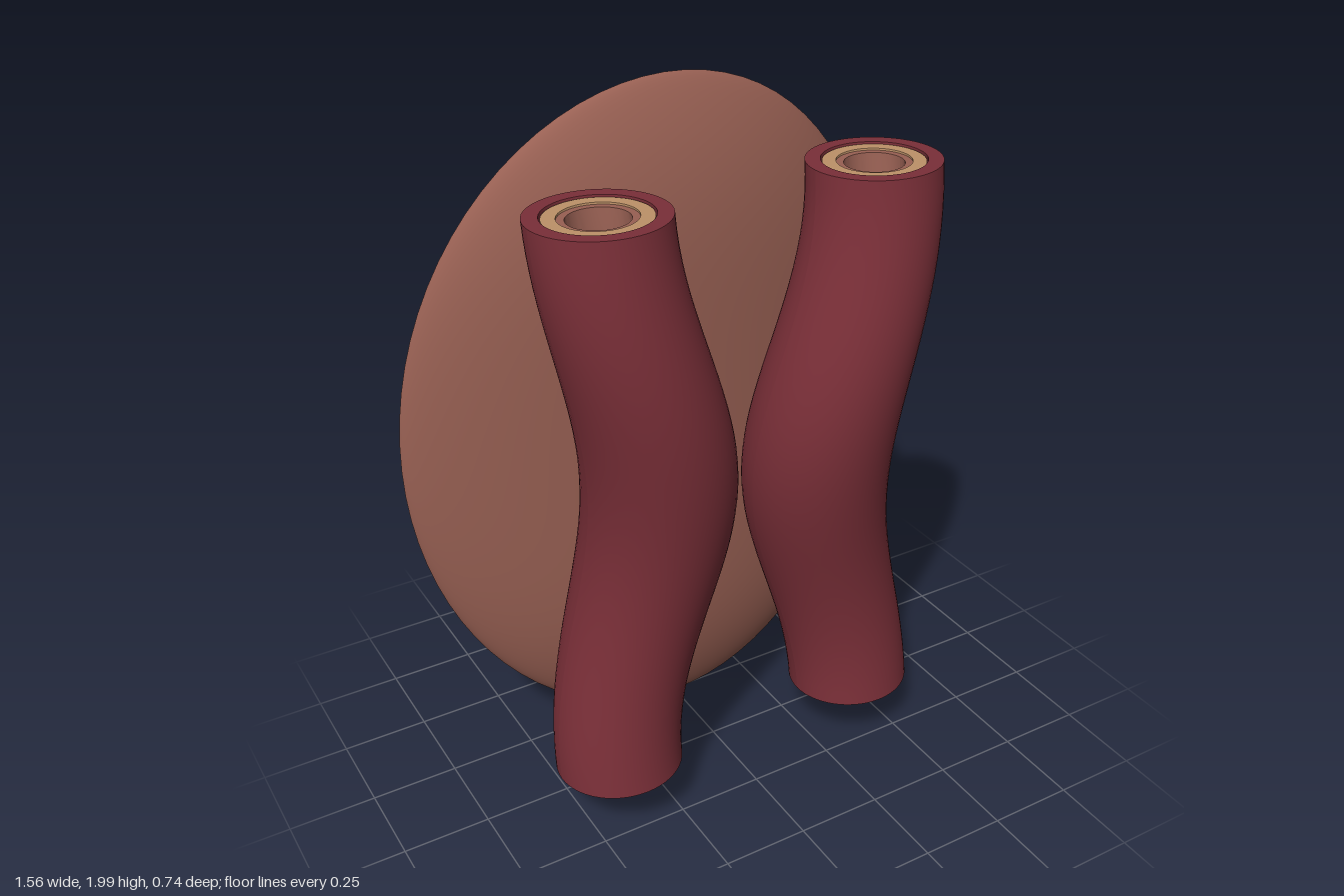
import * as THREE from 'three';
import { mergeVertices, toCreasedNormals } from 'three/addons/utils/BufferGeometryUtils.js';

const material = (name, color) => {
  const m = new THREE.MeshStandardMaterial({ color });
  m.name = name;
  return m;
};

const Y0 = 0.19, Y1 = 1.815;

// Half of a hollow tube layer, bowed along its length. side: +1 left, -1 right
function tubeHalf(outer, inner, recess, side, phiStart) {
  const y0 = Y0 + recess, y1 = Y1 - recess, steps = 40;
  const profile = [];
  for (let i = 0; i <= steps; i++) profile.push(new THREE.Vector2(outer, y0 + (y1 - y0) * i / steps));
  for (let i = steps; i >= 0; i--) profile.push(new THREE.Vector2(inner, y0 + (y1 - y0) * i / steps));
  profile.push(profile[0].clone());
  const geo = new THREE.LatheGeometry(profile, 28, phiStart, Math.PI);
  const p = geo.attributes.position;
  for (let i = 0; i < p.count; i++) {
    const t = (p.getY(i) - Y0) / (Y1 - Y0);
    const s = Math.sin(Math.PI * t) ** 2;
    const swell = 1 + 0.14 * s;
    p.setX(i, p.getX(i) * swell + side * (0.393 - 0.143 * s));
    p.setZ(i, p.getZ(i) * swell * (0.94 + 0.06 * s) + 0.14 - 0.037 * Math.sin(2 * Math.PI * t));
  }
  geo.deleteAttribute('uv');
  geo.deleteAttribute('normal');
  return toCreasedNormals(mergeVertices(geo), 0.7);
}

// Oval back plate: thick in the middle, thin at the rim, sides swept backwards
function plateGeometry() {
  let geo = new THREE.SphereGeometry(1, 80, 60).rotateX(Math.PI / 2);
  geo.deleteAttribute('uv');
  geo.deleteAttribute('normal');
  geo = mergeVertices(geo);
  const p = geo.attributes.position;
  for (let i = 0; i < p.count; i++) {
    const u = p.getX(i), v = p.getY(i), w = p.getZ(i);
    const fuller = 1 + 0.75 * v * v * (1 - v ** 4);
    const half = 0.122 * Math.sign(w) * Math.abs(w) ** 1.2 * fuller;
    p.setXYZ(i, u * 0.78, 1.005 + v * 0.995, -0.245 - 0.085 * u * u + half);
  }
  geo.computeVertexNormals();
  return geo;
}

export function createModel() {
  const red = material('dark red', 0x7a2f38);
  const tan = material('tan', 0xbd9168);
  const brown = material('rosy brown', 0x986053);

  const model = new THREE.Group();
  const add = (parent, name, geo, mat) => {
    const mesh = new THREE.Mesh(geo, mat);
    mesh.name = name;
    parent.add(mesh);
  };

  add(model, 'backPlate', plateGeometry(), brown);

  // Nested layers: outer shell, middle sleeve, inner lining around the bore
  const layers = [
    ['outerShell', 0.181, 0.14, 0, red],
    ['middleSleeve', 0.136, 0.1, 0.005, tan],
    ['innerLining', 0.1, 0.08, 0.01, brown],
  ];
  for (const side of [1, -1]) {
    const tube = new THREE.Group();
    tube.name = side > 0 ? 'leftTube' : 'rightTube';
    for (const [name, outer, inner, recess, mat] of layers) {
      add(tube, name + 'Front', tubeHalf(outer, inner, recess, side, -Math.PI / 2), mat);
      add(tube, name + 'Back', tubeHalf(outer, inner, recess, side, Math.PI / 2), mat);
    }
    model.add(tube);
  }
  return model;
}
